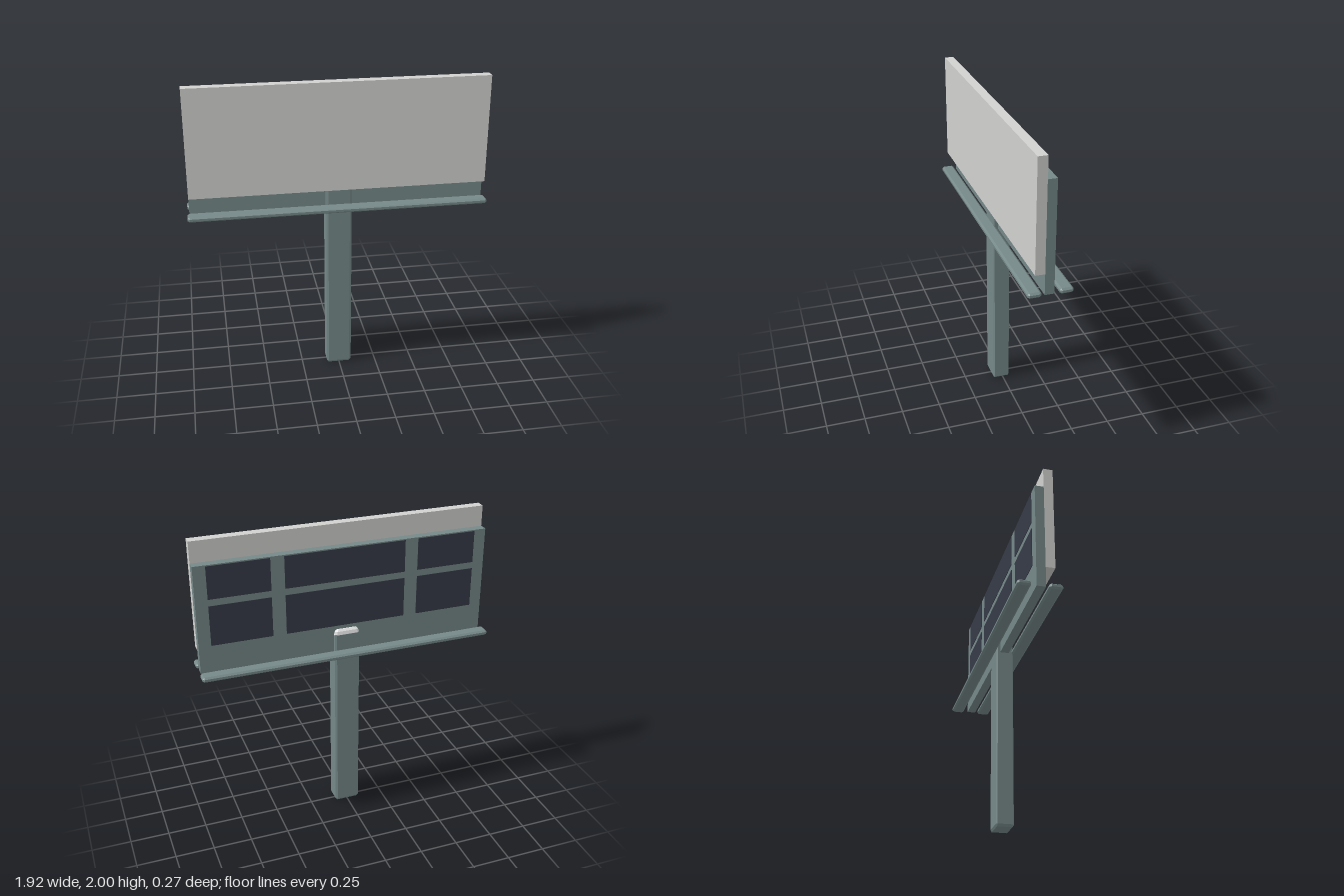
import * as THREE from 'three';
import { ConvexGeometry } from 'three/addons/geometries/ConvexGeometry.js';

const material = (name, color) => new THREE.MeshStandardMaterial({ name, color });

// Box from min to max corner with flat chamfers of size c along each axis
function chamferedBox(min, max, c) {
  const points = [];
  for (const sx of [0, 1]) for (const sy of [0, 1]) for (const sz of [0, 1]) {
    const s = [sx, sy, sz];
    for (let face = 0; face < 3; face++) {
      const p = s.map((side, i) => {
        const inset = i === face ? 0 : c[i];
        return side ? max[i] - inset : min[i] + inset;
      });
      points.push(new THREE.Vector3(...p));
    }
  }
  return new ConvexGeometry(points);
}

function plainBox(min, max) {
  const geometry = new THREE.BoxGeometry(max[0] - min[0], max[1] - min[1], max[2] - min[2]);
  return geometry.translate((min[0] + max[0]) / 2, (min[1] + max[1]) / 2, (min[2] + max[2]) / 2);
}

export function createModel() {
  const group = new THREE.Group();
  const steel = material('grey green steel', 0x758888);
  const white = material('pale grey board', 0xd0d0ce);
  const capWhite = material('light cap', 0xe4e4e4);
  const navy = material('dark navy panel', 0x363a47);

  const add = (name, geometry, mat) => {
    const mesh = new THREE.Mesh(geometry, mat);
    mesh.name = name;
    group.add(mesh);
  };

  // Post with a chamfered foot, and a pale cap on top
  add('post', chamferedBox([-0.083, 0, -0.046], [0.083, 1.3, 0.066], [0.013, 0.014, 0.008]), steel);
  const capPoints = [];
  for (const [y, inset] of [[1.285, 0], [1.308, 0.006], [1.32, 0.018]]) {
    for (const sx of [-1, 1]) for (const sz of [-1, 1]) {
      capPoints.push(new THREE.Vector3(sx * (0.07 - inset), y, 0.01 + sz * (0.056 - inset)));
      capPoints.push(new THREE.Vector3(sx * (0.083 - inset), y, 0.01 + sz * (0.048 - inset)));
    }
  }
  add('postCap', new ConvexGeometry(capPoints), capWhite);

  // Backing frame and raised display board
  add('backFrame', plainBox([-0.948, 1.165, -0.022], [0.948, 1.865, 0.035]), steel);
  add('displayBoard', plainBox([-0.948, 1.298, 0.034], [0.948, 2, 0.094]), white);

  // Walkway rails, front and back
  for (const [name, z0, z1] of [['frontRail', 0.054, 0.137], ['backRail', -0.137, -0.054]]) {
    add(name, chamferedBox([-0.96, 1.157, z0], [0.96, 1.191, z1], [0.012, 0.01, 0.012]), steel);
  }

  // Dark panels on the back, three columns by two rows
  for (const [x0, x1] of [[-0.87, -0.48], [-0.393, 0.393], [0.48, 0.87]]) {
    for (const [y0, y1] of [[1.345, 1.605], [1.648, 1.858]]) {
      add('backPanel', plainBox([x0, y0, -0.025], [x1, y1, -0.021]), navy);
    }
  }
  return group;
}
